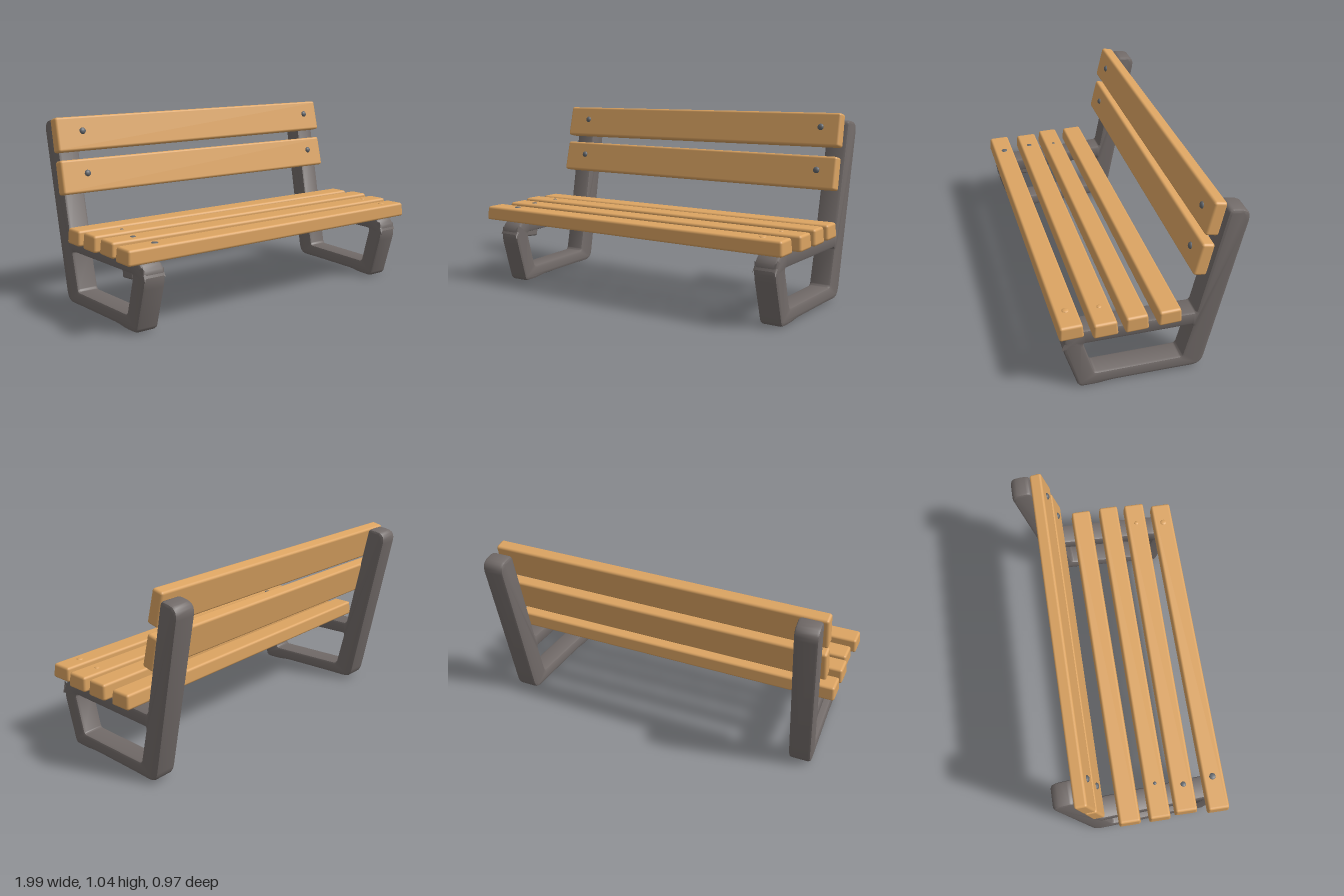
import * as THREE from 'three';
import { toCreasedNormals } from 'three/addons/utils/BufferGeometryUtils.js';
import { RoundedBoxGeometry } from 'three/addons/geometries/RoundedBoxGeometry.js';

const wood = new THREE.MeshStandardMaterial({ name: 'wood', color: 0xdca462 });
const iron = new THREE.MeshStandardMaterial({ name: 'castIron', color: 0x716a68 });
const steel = new THREE.MeshStandardMaterial({ name: 'boltSteel', color: 0x62666b });

// Closed path through [z, y, cornerRadius] points with rounded corners
function roundedPath(path, points) {
  const n = points.length;
  const toward = (a, b, r) => {
    const d = Math.hypot(b[0] - a[0], b[1] - a[1]);
    return [a[0] + (b[0] - a[0]) * r / d, a[1] + (b[1] - a[1]) * r / d];
  };
  points.forEach((p, i) => {
    const start = toward(p, points[(i + n - 1) % n], p[2]);
    const end = toward(p, points[(i + 1) % n], p[2]);
    if (i === 0) path.moveTo(...start);
    else path.lineTo(...start);
    path.quadraticCurveTo(p[0], p[1], ...end);
  });
  path.closePath();
  return path;
}

function add(parent, name, geometry, material) {
  const mesh = new THREE.Mesh(geometry, material);
  mesh.name = name;
  parent.add(mesh);
  return mesh;
}

// One side frame: a closed leg loop that runs on into the back post
function frameGeometry(topY, skew) {
  const shape = roundedPath(new THREE.Shape(), [
    [0.375, 0.003, 0.025], [0.28, 0.002, 0.03], [0.2, 0.012, 0.03],
    [-0.15, 0.014, 0.03], [-0.298, 0.012, 0.06],
    [-0.492, topY - 0.015, 0.065], [-0.373, topY, 0.025],
    [-0.247, 0.385, 0.015], [0.43, 0.39, 0.09], [0.458, 0.29, 0.05],
  ]);
  shape.holes.push(roundedPath(new THREE.Path(), [
    [0.35, 0.303, 0.015], [-0.235, 0.308, 0.012],
    [-0.185, 0.09, 0.015], [0.29, 0.085, 0.015],
  ]));
  const bevel = 0.016;
  const geometry = new THREE.ExtrudeGeometry(shape, {
    depth: 0.127 - 2 * bevel, curveSegments: 5,
    bevelSize: bevel, bevelThickness: bevel, bevelOffset: -bevel, bevelSegments: 2,
  });
  geometry.translate(0, 0, bevel - 0.0635);
  geometry.rotateY(-Math.PI / 2);
  // The frames splay slightly outward toward the back
  const pos = geometry.attributes.position;
  for (let i = 0; i < pos.count; i++) pos.setX(i, pos.getX(i) + skew * pos.getZ(i));
  return toCreasedNormals(geometry, 0.65);
}

// A softly rounded plank, a little narrower on its upper face
function plankGeometry(length, height, depth, taper) {
  const geometry = new RoundedBoxGeometry(length, height, depth, 2, 0.014);
  const pos = geometry.attributes.position;
  for (let i = 0; i < pos.count; i++) {
    const t = pos.getY(i) / height + 0.5;
    pos.setZ(i, pos.getZ(i) * (1 - taper * t));
    pos.setX(i, pos.getX(i) * (1 - taper * 0.06 * t));
  }
  return geometry;
}

// Domed bolt head that points up
function boltGeometry(radius, height) {
  const dome = new THREE.SphereGeometry(radius, 12, 5, 0, Math.PI * 2, 0, Math.PI / 2);
  return dome.scale(1, height / radius, 1);
}

export function createModel() {
  const bench = new THREE.Group();
  bench.name = 'bench';

  // Side frames
  const left = add(bench, 'leftFrame', frameGeometry(1.005, -0.04), iron);
  left.position.x = 0.878;
  const right = add(bench, 'rightFrame', frameGeometry(1.022, 0.05), iron);
  right.position.set(-0.862, 0.003, 0.012);
  const lug = add(right, 'frameLug', new RoundedBoxGeometry(0.11, 0.06, 0.1, 2, 0.012), iron);
  lug.position.set(0.012, 0.3, 0.296);
  lug.rotation.x = -0.08;

  // Seat slats: x range, z centre, width, top height, yaw
  const seat = new THREE.Group();
  seat.name = 'seat';
  bench.add(seat);
  [
    [-1.0, 0.966, 0.418, 0.13, 0.465, 0.002],
    [-0.985, 0.992, 0.243, 0.133, 0.467, -0.005],
    [-1.0, 0.995, 0.086, 0.126, 0.473, 0.001],
    [-1.0, 0.992, -0.087, 0.127, 0.468, 0.004],
  ].forEach(([x0, x1, z, width, top, yaw], i) => {
    const height = top - 0.384;
    const slat = add(seat, 'seatSlat' + (i + 1), plankGeometry(x1 - x0, height, width, 0.1), wood);
    slat.position.set((x0 + x1) / 2, 0.384 + height / 2, z);
    slat.rotation.y = yaw;
  });

  // Seat bolts: x, slat top, z, radius, material
  [
    [-0.808, 0.464, 0.416, 0.019, steel], [0.83, 0.464, 0.416, 0.019, wood],
    [-0.828, 0.465, 0.245, 0.016, steel], [0.85, 0.465, 0.246, 0.014, wood],
    [-0.8, 0.47, 0.086, 0.011, steel],
  ].forEach(([x, y, z, r, material]) => {
    add(seat, 'seatBolt', boltGeometry(r, 0.007), material).position.set(x, y, z);
  });

  // Back slats, leaning with the posts, with two bolts each
  [
    [0.945, -0.315, 0.188, 0.005, 'upperBackSlat'],
    [0.713, -0.271, 0.186, 0, 'lowerBackSlat'],
  ].forEach(([y, z, height, roll, name]) => {
    const group = new THREE.Group();
    group.name = name;
    group.position.set(-0.015, y, z);
    group.rotation.set(-0.215, 0, roll);
    bench.add(group);
    add(group, 'backPlank', plankGeometry(1.91, height, 0.073, 0.06), wood);
    for (const x of [-0.8, 0.84]) {
      const bolt = add(group, 'backBolt', boltGeometry(0.019, 0.014), steel);
      bolt.position.set(x, 0.012, 0.034);
      bolt.rotation.x = Math.PI / 2;
    }
  });

  return bench;
}
